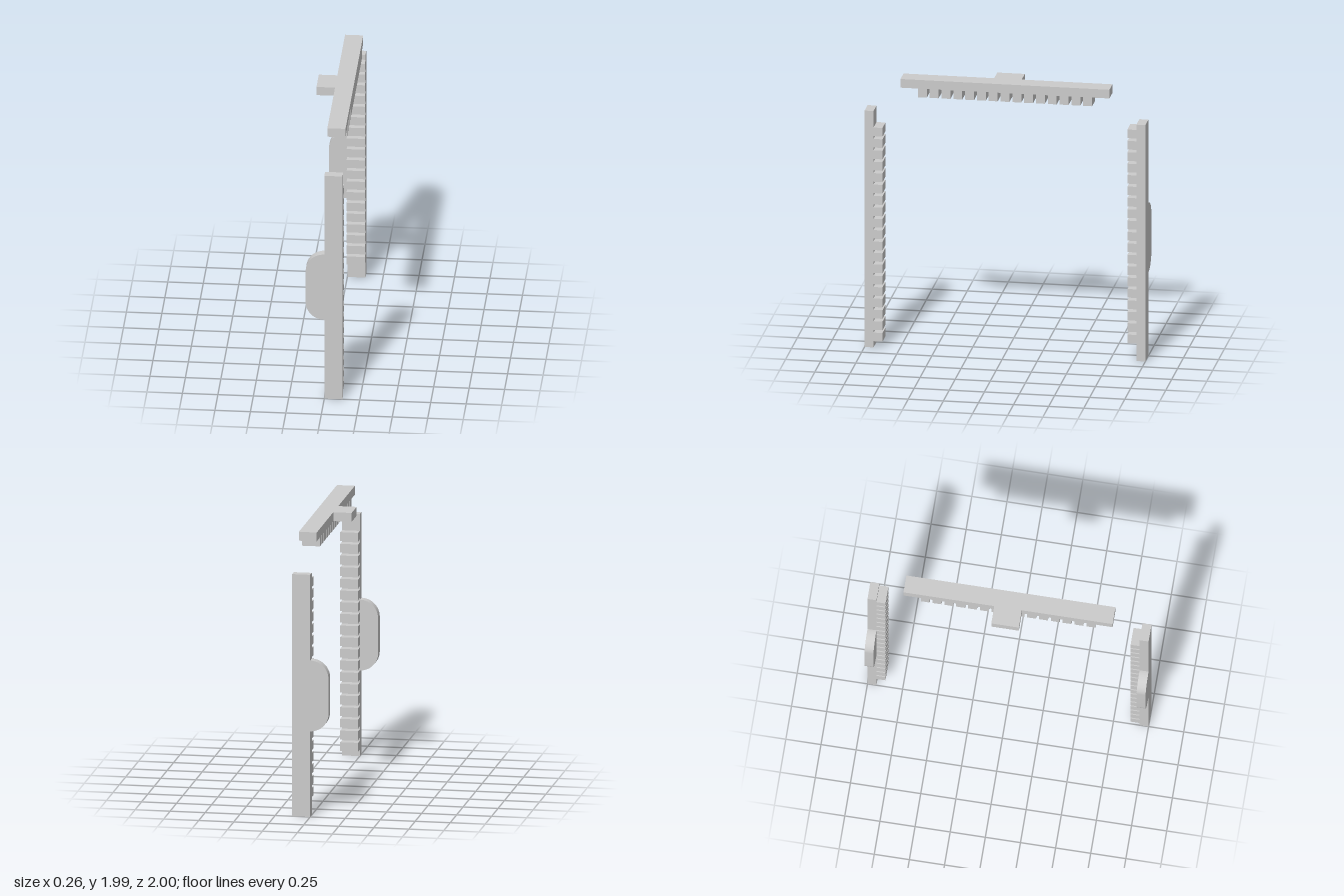
import * as THREE from 'three';
import { toCreasedNormals } from 'three/addons/utils/BufferGeometryUtils.js';

const WIDTH = 0.128;   // bar width along x
const PLATE = 0.064;   // thickness of the backing strip
const REACH = 0.128;   // thickness including the teeth
const PITCH = 0.0841;  // tooth spacing
const TOOTH = 0.0635;  // tooth length

const material = new THREE.MeshStandardMaterial({ color: 0xcccccc });

// Toothed strip: local x = depth, y = along the bar, z = width
function rackGeometry(length, start, count) {
  const s = new THREE.Shape();
  s.moveTo(0, 0);
  s.lineTo(PLATE, 0);
  for (let i = 0; i < count; i++) {
    const a = start + i * PITCH;
    s.lineTo(PLATE, a);
    s.lineTo(REACH, a);
    s.lineTo(REACH, a + TOOTH);
    s.lineTo(PLATE, a + TOOTH);
  }
  s.lineTo(PLATE, length);
  s.lineTo(0, length);
  s.closePath();
  return new THREE.ExtrudeGeometry(s, { depth: WIDTH, bevelEnabled: false });
}

// Flat side tab centred on the bar, with optional rounded outer corners
function tabGeometry(length, half, radius) {
  const out = 0.131, mid = length / 2;
  const s = new THREE.Shape();
  s.moveTo(0, mid - half);
  s.lineTo(out - radius, mid - half);
  if (radius) s.absarc(out - radius, mid - half + radius, radius, -Math.PI / 2, 0, false);
  else s.lineTo(out, mid - half);
  s.lineTo(out, mid + half - radius);
  if (radius) s.absarc(out - radius, mid + half - radius, radius, 0, Math.PI / 2, false);
  s.lineTo(0, mid + half);
  s.closePath();
  const g = new THREE.ExtrudeGeometry(s, { depth: PLATE, bevelEnabled: false, curveSegments: 16 });
  // outward -> -z, length -> y, thickness -> x
  g.applyMatrix4(new THREE.Matrix4().makeBasis(
    new THREE.Vector3(0, 0, -1), new THREE.Vector3(0, 1, 0), new THREE.Vector3(1, 0, 0)));
  return toCreasedNormals(g, 0.6);
}

function makeBar({ name, length, start, count, half, radius, depthDir, lengthDir, origin }) {
  const bar = new THREE.Group();
  bar.name = name;
  const rack = new THREE.Mesh(rackGeometry(length, start, count), material);
  rack.name = name + 'Rack';
  const tab = new THREE.Mesh(tabGeometry(length, half, radius), material);
  tab.name = name + 'Tab';
  bar.add(rack, tab);
  // local z always ends up along world +x
  const m = new THREE.Matrix4().makeBasis(
    new THREE.Vector3(...depthDir), new THREE.Vector3(...lengthDir), new THREE.Vector3(1, 0, 0));
  bar.quaternion.setFromRotationMatrix(m);
  bar.position.set(...origin);
  return bar;
}

export function createModel() {
  const model = new THREE.Group();
  model.name = 'toothedBars';
  const post = { length: 1.745, count: 19, half: 0.255, radius: 0.13 };
  model.add(
    // front post, teeth facing back
    makeBar({ ...post, name: 'frontPost', start: 0.046,
      depthDir: [0, 0, -1], lengthDir: [0, 1, 0], origin: [0, 0, 1] }),
    // back post, turned end for end, teeth facing forward
    makeBar({ ...post, name: 'backPost', start: 0.039,
      depthDir: [0, 0, 1], lengthDir: [0, -1, 0], origin: [0, 1.745, -1] }),
    // top beam, teeth facing down
    makeBar({ name: 'topBeam', length: 1.488, start: 0.124, count: 15, half: 0.098, radius: 0,
      depthDir: [0, -1, 0], lengthDir: [0, 0, -1], origin: [0, 1.992, 0.744] })
  );
  return model;
}
